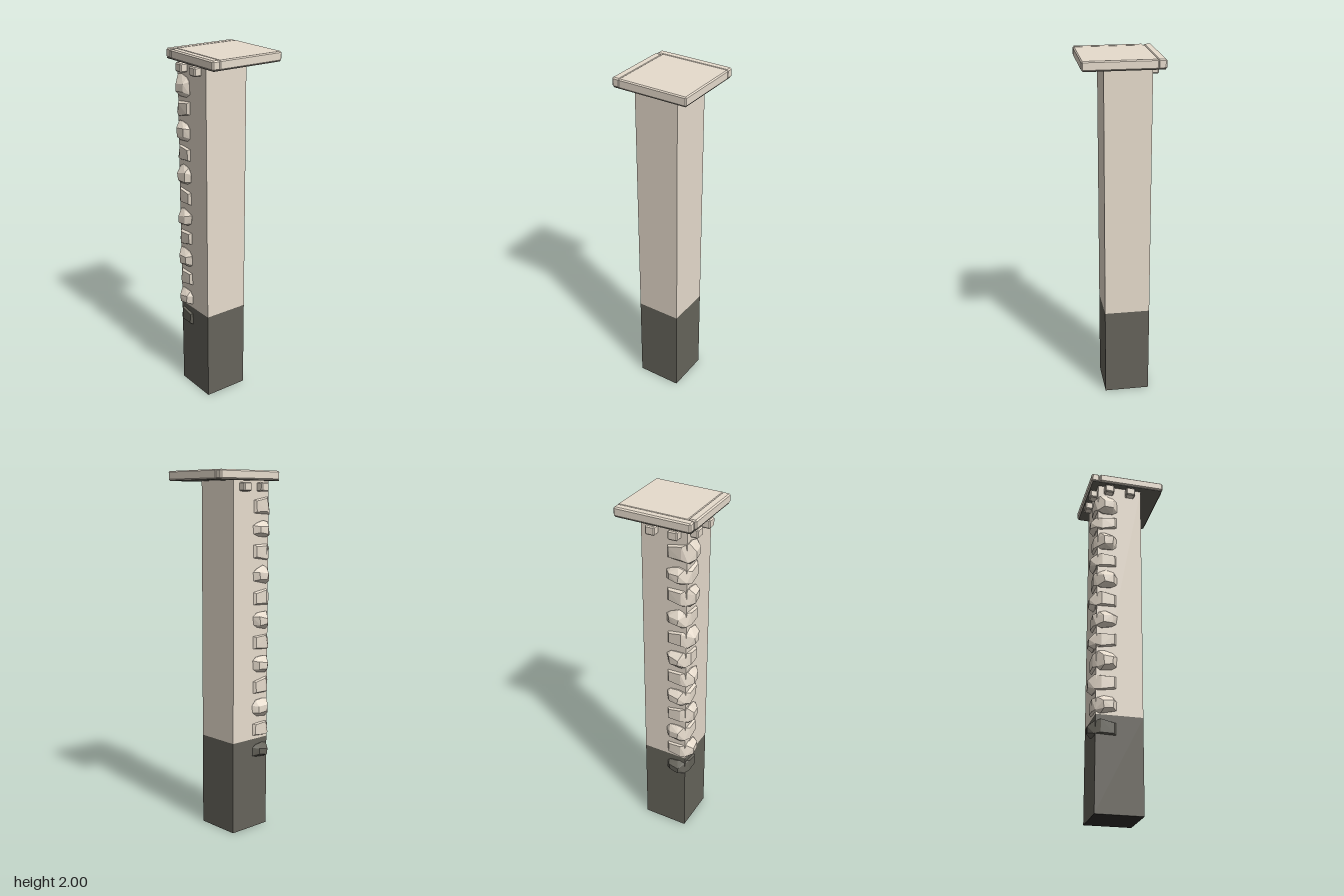
import * as THREE from 'three';
import { ConvexGeometry } from 'three/addons/geometries/ConvexGeometry.js';

const CORNER = 0.17; // quoined edge stands at x = -CORNER, z = +CORNER

// Small seeded generator for the rough stone shapes
function seeded(seed) {
  let s = seed;
  return () => {
    s = (s * 16807) % 2147483647;
    return s / 2147483647 - 0.5;
  };
}

// Box with flat chamfers, given by its limits
function chamferedBox(x0, x1, y0, y1, z0, z1, bevel) {
  const half = [(x1 - x0) / 2, (y1 - y0) / 2, (z1 - z0) / 2];
  const points = [];
  for (const sx of [-1, 1]) for (const sy of [-1, 1]) for (const sz of [-1, 1]) {
    for (let face = 0; face < 3; face++) {
      const [x, y, z] = half.map((h, axis) => (axis === face ? h : h - bevel));
      points.push(new THREE.Vector3(sx * x, sy * y, sz * z));
    }
  }
  return new ConvexGeometry(points).translate((x0 + x1) / 2, (y0 + y1) / 2, (z0 + z1) / 2);
}

// Faceted stone wrapped round the corner. Each point is
// [distance in from the corner, height, projection from the wall];
// swapping the two horizontal values turns the lump to the other wall.
function quoinGeometry(y, h, tilt, onFront, rand) {
  const low = 0.036;
  const points = [
    // outline on the broad face
    [0.012, h * 0.85, 0.006], [0.045, h, 0.006], [0.09, h * 0.8, 0.004],
    [0.112, h * 0.4, 0.002], [0.11, -h * 0.55, 0.002], [0.085, -h * 0.85, 0.004],
    [0.025, -h, 0.006], [0.0, -h * 0.7, 0.006],
    // projecting facet
    [0.03, h * 0.25, 0.036], [0.088, h * 0.35, 0.03],
    [0.085, -h * 0.45, 0.03], [0.035, -h * 0.5, 0.036],
    // low return on the neighbouring face
    [-0.016, low, -0.025], [-0.016, -low, -0.025],
    [-0.014, low * 0.8, -0.098], [-0.014, -low * 0.8, -0.098],
    [0.004, low, -0.112], [0.004, -low, -0.112],
  ];
  return new ConvexGeometry(points.map(([a, v, p], i) => {
    const j = i < 12 ? 0.008 : 0.003;
    const slope = i < 12 ? 0 : tilt * (p + 0.06);
    const py = y + v + slope + rand() * j * 1.5;
    const pa = a + rand() * j;
    const pp = p + rand() * 0.003;
    return onFront
      ? new THREE.Vector3(-CORNER + pa, py, CORNER + pp)
      : new THREE.Vector3(-CORNER - pp, py, CORNER - pa);
  }));
}

export function createModel() {
  const model = new THREE.Group();
  model.name = 'stoneColumn';

  function stone(name, color) {
    const material = new THREE.MeshStandardMaterial({ color });
    material.name = name;
    return material;
  }
  const paleStone = stone('paleStone', 0xe7dccd);
  const darkStone = stone('darkStone', 0x66645b);
  const blackStone = stone('blackStone', 0x302f2c);

  function add(name, geometry, material, parent = model) {
    const mesh = new THREE.Mesh(geometry, material);
    mesh.name = name;
    parent.add(mesh);
    return mesh;
  }

  // Square shaft on a dark plinth with a near-black underside
  const side = 0.257;
  const shaftX = -CORNER + side / 2;
  const plinthFaces = [darkStone, darkStone, darkStone, blackStone, darkStone, darkStone];
  const plinth = add('plinth', new THREE.BoxGeometry(side, 0.52, side), plinthFaces);
  plinth.position.set(shaftX, 0.26, -shaftX);
  const shaft = add('shaft', new THREE.BoxGeometry(side, 1.435, side), paleStone);
  shaft.position.set(shaftX, 1.2375, -shaftX);

  // Cap slab with an edging strip on the two decorated sides
  const cap = new THREE.Group();
  cap.name = 'cap';
  model.add(cap);
  add('capSlab', chamferedBox(-0.176, 0.215, 1.95, 2, -0.218, 0.176, 0.006), paleStone, cap);
  add('capSideStrip', chamferedBox(-0.217, -0.171, 1.95, 2, -0.217, 0.21, 0.007), paleStone, cap);
  add('capFrontStrip', chamferedBox(-0.168, 0.213, 1.95, 2, 0.17, 0.216, 0.007), paleStone, cap);

  // Dark underside of the cap
  const soffit = add('capUnderside', new THREE.BoxGeometry(0.418, 0.004, 0.42), darkStone, cap);
  soffit.position.set(-0.001, 1.949, -0.001);

  // Small blocks under the cap, mirrored across the corner
  const dentils = new THREE.Group();
  dentils.name = 'dentils';
  model.add(dentils);
  for (const s of [-0.135, -0.009]) {
    const e = s + 0.054;
    add('frontDentil', chamferedBox(s, e, 1.89, 1.938, 0.16, 0.21, 0.006), paleStone, dentils);
    add('sideDentil', chamferedBox(-0.21, -0.16, 1.89, 1.938, -e, -s, 0.006), paleStone, dentils);
  }

  // Corner stones, turned alternately to the side and the front
  const quoins = new THREE.Group();
  quoins.name = 'quoins';
  model.add(quoins);
  const rand = seeded(4217);
  const heights = [0.045, 0.05, 0.049, 0.06, 0.046, 0.053, 0.05, 0.058, 0.047, 0.057, 0.05, 0.065];
  const tilts = [0.1, 0, -0.1, 0.1, -0.15, 0, 0.05, 0.1, 0, -0.1, -0.25, 0.1];
  heights.forEach((h, i) => {
    const y = 0.45 + i * 0.124;
    const geometry = quoinGeometry(y, h, tilts[i], i % 2 === 1, rand);
    add('quoin', geometry, i === 0 ? darkStone : paleStone, quoins);
  });

  return model;
}
